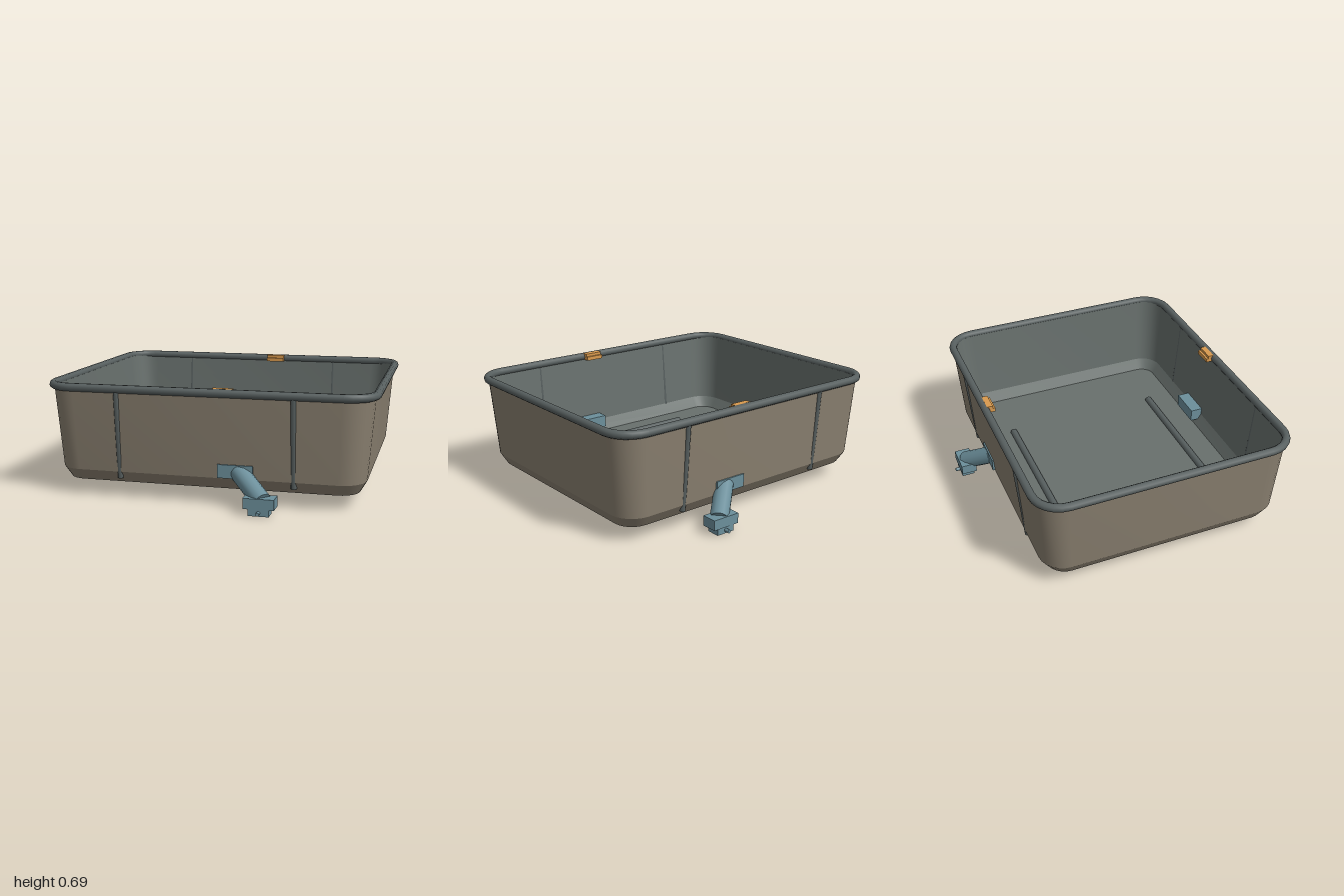
import * as THREE from 'three';
import { toCreasedNormals } from 'three/addons/utils/BufferGeometryUtils.js';

const mat = (name, color) => {
  const m = new THREE.MeshStandardMaterial({ color });
  m.name = name;
  return m;
};

// Rounded rectangle in the xz plane, as a loop of [x, z]
function ring(hx, hz, r, seg = 6) {
  const pts = [];
  const corners = [[1, 1], [-1, 1], [-1, -1], [1, -1]];
  corners.forEach(([sx, sz], k) => {
    for (let i = 0; i <= seg; i++) {
      const a = (k + i / seg) * Math.PI / 2;
      pts.push([sx * (hx - r) + r * Math.cos(a), sz * (hz - r) + r * Math.sin(a)]);
    }
  });
  return pts;
}

// Skin over a list of rings [halfX, halfZ, cornerRadius, y]
function loft(profile, crease) {
  const pos = [], idx = [];
  let n = 0;
  for (const [hx, hz, r, y] of profile) {
    const loop = ring(hx, hz, r);
    n = loop.length;
    for (const [x, z] of loop) pos.push(x, y, z);
  }
  for (let i = 0; i < profile.length - 1; i++) {
    for (let j = 0; j < n; j++) {
      const k = (j + 1) % n;
      const a = i * n + j, b = i * n + k, c = b + n, d = a + n;
      idx.push(a, d, c, a, c, b);
    }
  }
  const g = new THREE.BufferGeometry();
  g.setAttribute('position', new THREE.Float32BufferAttribute(pos, 3));
  g.setIndex(idx);
  return toCreasedNormals(g, crease);
}

export function createModel() {
  const model = new THREE.Group();
  model.name = 'washTub';
  const tan = mat('outerTan', 0x8a8070);
  const grey = mat('innerGrey', 0x68706d);
  const dark = mat('trimGrey', 0x586060);
  const blue = mat('spoutBlue', 0x6c8f9b);
  const orange = mat('clipOrange', 0xd99a4e);

  const add = (parent, name, geo, material) => {
    const m = new THREE.Mesh(geo, material);
    m.name = name;
    parent.add(m);
    return m;
  };
  // Box from its min and max corners
  const box = (parent, name, material, lo, hi) => {
    const m = add(parent, name, new THREE.BoxGeometry(hi[0] - lo[0], hi[1] - lo[1], hi[2] - lo[2]), material);
    m.position.set((lo[0] + hi[0]) / 2, (lo[1] + hi[1]) / 2, (lo[2] + hi[2]) / 2);
    return m;
  };
  // Cylinder between two points
  const rod = (parent, name, material, p, q, r, sides) => {
    const a = new THREE.Vector3(...p), b = new THREE.Vector3(...q);
    const dir = b.clone().sub(a);
    const m = add(parent, name, new THREE.CylinderGeometry(r, r, dir.length(), sides), material);
    m.position.copy(a).add(b).multiplyScalar(0.5);
    m.quaternion.setFromUnitVectors(new THREE.Vector3(0, 1, 0), dir.normalize());
    return m;
  };

  // Tub shell: tan outside, grey inside
  add(model, 'outerShell', loft([
    [0, 0, 0, 0.09], [0.89, 0.715, 0.12, 0.09], [0.93, 0.76, 0.15, 0.16], [0.97, 0.795, 0.17, 0.66],
  ], 0.35), tan);
  add(model, 'innerShell', loft([
    [0.97, 0.795, 0.17, 0.66], [0.95, 0.775, 0.15, 0.66], [0.91, 0.735, 0.13, 0.2],
    [0.87, 0.69, 0.09, 0.13], [0, 0, 0, 0.13],
  ], 0.35), grey);

  // Rolled rim
  const rim = [];
  for (let i = 0; i <= 10; i++) {
    const a = i / 10 * Math.PI * 2;
    const o = 0.025 * Math.cos(a);
    rim.push([0.975 + o, 0.79 + o, 0.165 + o, 0.664 + 0.025 * Math.sin(a)]);
  }
  add(model, 'rim', loft(rim, 0.8), dark);

  for (const s of [1, -1]) {
    // Upright ribs on the long walls
    for (const x of [-0.525, 0.525]) {
      rod(model, 'wallRib', dark, [x, 0.12, s * 0.742], [x, 0.65, s * 0.79], 0.018, 8);
    }
    // Raised runner on the floor
    rod(model, 'floorRunner', dark, [-0.47, 0.135, s * 0.51], [0.47, 0.135, s * 0.51], 0.023, 10);

    // Stepped clip inside the rim
    const zs = (a, b) => (s > 0 ? [a, b] : [-b, -a]);
    const slab = (parent, name, material, x, y, z) => {
      const [z0, z1] = zs(...z);
      box(parent, name, material, [x[0], y[0], z0], [x[1], y[1], z1]);
    };
    const clip = new THREE.Group();
    clip.name = 'rimClip';
    model.add(clip);
    slab(clip, 'clipBase', orange, [0.05, 0.17], [0.645, 0.67], [0.73, 0.782]);
    slab(clip, 'clipTop', orange, [0.05, 0.17], [0.67, 0.688], [0.745, 0.782]);

    // Drain spout: block through the wall, slanted pipe, end block and pin
    const spout = new THREE.Group();
    spout.name = 'drainSpout';
    model.add(spout);
    slab(spout, 'wallBlock', blue, [0.08, 0.29], [0.165, 0.245], [0.66, 0.775]);
    rod(spout, 'pipe', blue, [0.2, 0.2, s * 0.735], [0.37, 0.075, s * 0.885], 0.056, 14);
    slab(spout, 'endBlock', blue, [0.27, 0.45], [0.04, 0.102], [0.84, 0.937]);
    slab(spout, 'endFoot', blue, [0.3, 0.42], [0, 0.04], [0.85, 0.932]);
    rod(spout, 'pin', blue, [0.36, 0.02, s * 0.9], [0.36, 0.02, s * 0.963], 0.011, 8);
  }
  return model;
}
